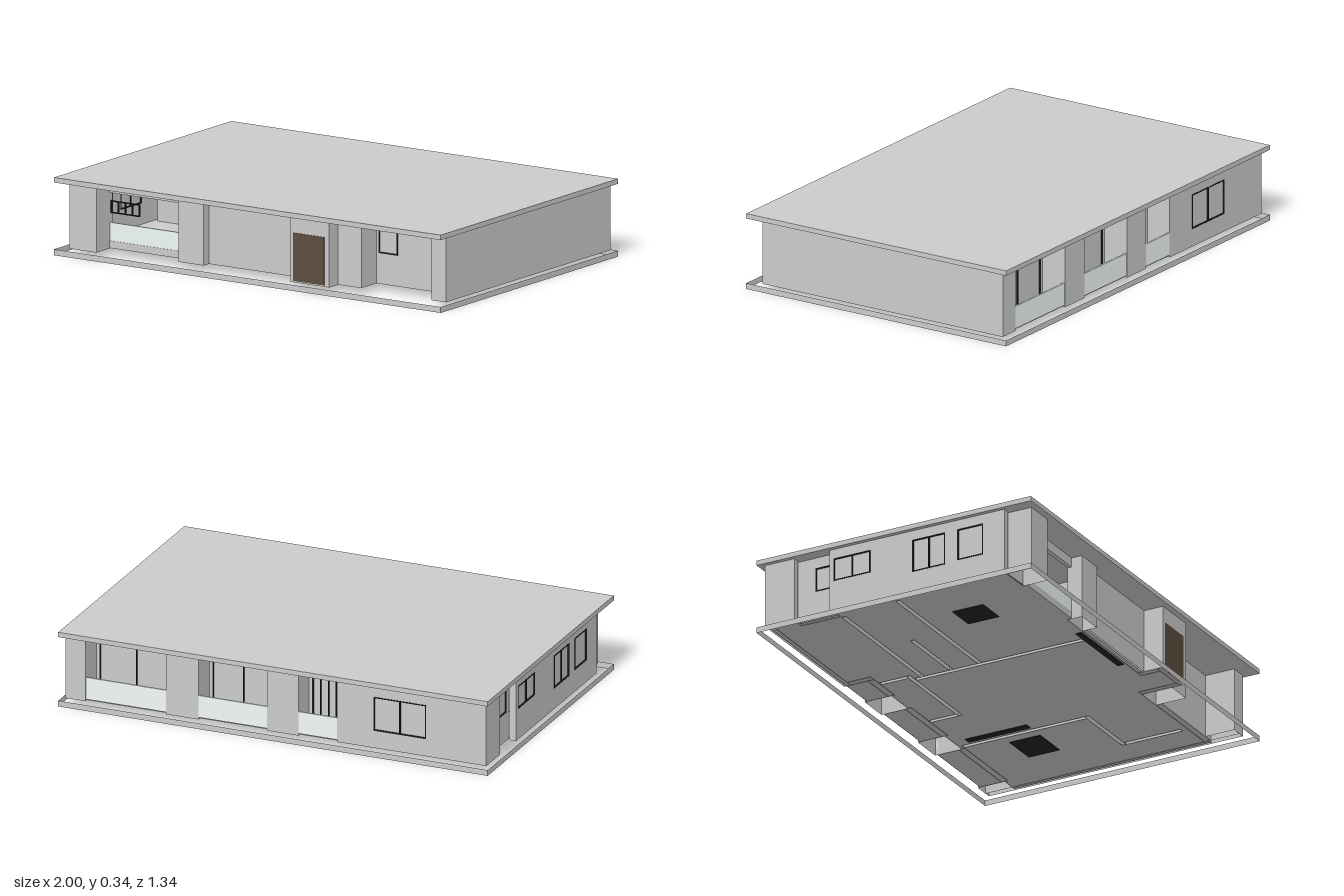
import * as THREE from 'three';

const FLOOR = 0.033, BOTTOM = 0.031, TOP = 0.318, T = 0.03, THIN = 0.018;
const mat = (color) => new THREE.MeshStandardMaterial({ color, side: THREE.DoubleSide });

// drops the triangles lying at the foot of a wall or pier, leaving it hollow from below
function openBottom(geometry) {
  const g = geometry.index ? geometry.toNonIndexed() : geometry;
  const p = g.attributes.position, kept = [];
  for (let i = 0; i < p.count; i += 3) {
    if (Math.max(p.getY(i), p.getY(i + 1), p.getY(i + 2)) > BOTTOM + 0.001) kept.push(i, i + 1, i + 2);
  }
  g.clearGroups();
  g.setIndex(kept);
  return g;
}

const rect = (P, x0, x1, y0, y1) => new P([[x0, y0], [x1, y0], [x1, y1], [x0, y1]]
  .map(([x, y]) => new THREE.Vector2(x, y)));

export function createModel() {
  const house = new THREE.Group();
  house.name = 'house';
  const grey = mat(0xcccccc), dark = mat(0x222222), glass = mat(0xf2fbf9), wood = mat(0x5d4c3c);

  const add = (name, geometry, material) => {
    const mesh = new THREE.Mesh(geometry, material);
    mesh.name = name;
    house.add(mesh);
    return mesh;
  };
  // box given by its two corners
  const box = (name, x0, x1, y0, y1, z0, z1, material = grey) => {
    const m = add(name, new THREE.BoxGeometry(x1 - x0, y1 - y0, z1 - z0), material);
    m.position.set((x0 + x1) / 2, (y0 + y1) / 2, (z0 + z1) / 2);
  };
  // hollow pier, open at the foot
  const pier = (name, x0, x1, z0, z1) => {
    const g = new THREE.BoxGeometry(x1 - x0, TOP - BOTTOM, z1 - z0);
    g.translate((x0 + x1) / 2, (TOP + BOTTOM) / 2, (z0 + z1) / 2);
    add(name, openBottom(g), grey);
  };
  // box running from a to b along an axis, centred on the plane "at"
  const run = (name, axis, at, a, b, y0, y1, t, material) => axis === 'x'
    ? box(name, a, b, y0, y1, at - t / 2, at + t / 2, material)
    : box(name, at - t / 2, at + t / 2, y0, y1, a, b, material);

  // window frame with mullions, d deep
  const frame = (axis, at, a, b, y0, y1, mullions, d) => {
    const w = 0.005;
    for (const y of [y0, y1 - w]) run('windowFrame', axis, at, a, b, y, y + w, d, dark);
    for (let i = 0; i <= mullions + 1; i++) {
      const s = a + (b - a - w) * i / (mullions + 1);
      run('windowFrame', axis, at, s, s + w, y0, y1, d, dark);
    }
  };

  // hollow wall with window openings [a, b, y0, y1, mullions]
  const wall = (name, axis, at, a, b, windows = [], t = T) => {
    const shape = rect(THREE.Shape, a, b, BOTTOM, TOP);
    for (const [p, q, y0, y1, n] of windows) {
      shape.holes.push(rect(THREE.Path, p, q, y0, y1));
      frame(axis, at, p, q, y0, y1, n, t * 1.1);
      run('windowPane', axis, at, p, q, y0, y1, t * 0.7, grey);
    }
    const m = add(name, openBottom(new THREE.ExtrudeGeometry(shape, { depth: t, bevelEnabled: false })), grey);
    if (axis === 'x') m.position.z = at - t / 2;
    else {
      m.rotation.y = -Math.PI / 2;
      m.position.x = at + t / 2;
    }
  };

  // roof slab and the open rim around the base
  box('roof', -1, 1, TOP, 0.34, -0.67, 0.67);
  for (const s of [-1, 1]) {
    const long = add('baseRim', new THREE.PlaneGeometry(2, 0.026), grey);
    long.position.set(0, 0.013, s * 0.67);
    if (s < 0) long.rotation.y = Math.PI;
    const short = add('baseRim', new THREE.PlaneGeometry(1.34, 0.026), grey);
    short.position.set(s, 0.013, 0);
    short.rotation.y = s * Math.PI / 2;
  }

  // interior partitions: axis, position, from, to
  const partitions = [['z', 0.49, -0.495, 0.106], ['x', 0.115, 0.481, 0.809], ['z', 0.8, 0.124, 0.4],
    ['x', -0.35, -0.244, 0.209], ['z', 0.2, -0.495, -0.359], ['z', -0.235, -0.495, -0.359],
    ['z', -0.2, -0.341, 0.51], ['x', -0.02, -0.93, -0.209], ['x', -0.16, -0.55, -0.209],
    ['x', -0.3, -0.9, -0.209]];
  for (const [axis, at, a, b] of partitions) wall('partition', axis, at, a, b, [], THIN);

  // floor sheet, notched at the piers and slotted under the partitions
  const plan = [[0.95, -0.51], [0.885, -0.51], [0.885, -0.63], [0.51, -0.63], [0.51, -0.51], [0.36, -0.51],
    [0.36, -0.63], [0.04, -0.63], [0.04, -0.51], [-0.105, -0.51], [-0.105, -0.63], [-0.97, -0.63],
    [-0.97, -0.5], [-0.93, -0.5], [-0.93, -0.31], [-0.97, -0.31], [-0.97, 0.52], [-0.41, 0.54],
    [-0.41, 0.52], [-0.28, 0.52], [-0.28, 0.54], [0.21, 0.54], [0.21, 0.63], [0.4, 0.63], [0.4, 0.43],
    [0.525, 0.43], [0.525, 0.455], [0.97, 0.455], [0.97, -0.51]];
  const floorShape = new THREE.Shape(plan.map(([x, z]) => new THREE.Vector2(x, z)));
  for (const [axis, at, a, b] of partitions) {
    const s = [a + 0.002, b - 0.002], w = [at - THIN / 2, at + THIN / 2];
    floorShape.holes.push(rect(THREE.Path, ...(axis === 'x' ? [...s, ...w] : [...w, ...s])));
  }
  const floor = add('floor', new THREE.ShapeGeometry(floorShape), grey);
  floor.rotation.x = Math.PI / 2;
  floor.position.y = FLOOR;

  // dark strips and mats let into the floor
  for (const [x0, x1, z0, z1] of [[-0.27, 0.1, 0.48, 0.51], [0.43, 0.465, -0.45, -0.15],
    [0.55, 0.72, -0.3, -0.15], [-0.72, -0.58, 0.13, 0.28]]) {
    box('floorMat', x0, x1, 0.03, 0.036, z0, z1, dark);
  }

  // blank end wall
  wall('endWall', 'z', 0.965, -0.64, 0.6);

  // front: recessed window wall, entrance block, middle wall
  wall('frontWindowWall', 'x', 0.445, 0.525, 0.95, [[0.535, 0.635, 0.165, 0.27, 0]]);
  wall('entranceWall', 'x', 0.628, 0.205, 0.405);
  wall('entranceSide', 'z', 0.22, 0.52, 0.613);
  wall('entranceSide', 'z', 0.39, 0.43, 0.613);
  wall('frontMiddleWall', 'x', 0.535, -0.28, 0.205);
  box('frontDoor', 0.22, 0.38, 0.037, 0.248, 0.63, 0.6445, wood);
  for (const [x0, x1, z0, z1] of [[-0.94, -0.8, 0.52, 0.64], [-0.41, -0.28, 0.52, 0.59],
    [0.405, 0.525, 0.43, 0.575], [0.905, 0.95, 0.46, 0.6]]) pier('frontPier', x0, x1, z0, z1);

  // front balcony: sill, glass parapet, lintel and the small high frame
  box('parapetSill', -0.8, -0.41, FLOOR, 0.065, 0.525, 0.54);
  box('parapetGlass', -0.8, -0.41, 0.065, 0.145, 0.53, 0.538, glass);
  box('frontLintel', -0.8, -0.41, 0.275, TOP, 0.52, 0.54);
  frame('x', 0.53, -0.8, -0.65, 0.185, 0.24, 3, 0.006);

  // back: piers, balconies with glazing set behind glass parapets, window wall
  for (const [x0, x1] of [[0.885, 0.95], [0.36, 0.51], [-0.105, 0.04]]) {
    pier('backPier', x0, x1, -0.64, -0.51);
  }
  for (const [x0, x1, n] of [[0.51, 0.885, 1], [0.04, 0.36, 1], [-0.285, -0.105, 3]]) {
    wall('balconyWall', 'x', -0.51, x0, x1, [[x0 + 0.015, x1 - 0.015, 0.06, 0.28, n]]);
    box('parapetGlass', x0, x1, 0.04, 0.14, -0.638, -0.63, glass);
  }
  wall('backWall', 'x', -0.625, -0.98, -0.285, [[-0.7, -0.455, 0.11, 0.265, 1]]);
  wall('balconySide', 'z', -0.3, -0.61, -0.495);

  // windowed end: corner return, shallow recess, long wall
  wall('cornerWall', 'z', -0.965, -0.61, -0.495);
  wall('recessWall', 'z', -0.925, -0.5, -0.31, [[-0.415, -0.335, 0.16, 0.27, 0]]);
  wall('sideWall', 'z', -0.965, -0.325, 0.53, [[-0.305, -0.125, 0.17, 0.275, 1],
    [0.08, 0.24, 0.125, 0.275, 1], [0.3, 0.425, 0.13, 0.275, 0]]);

  // inner door leaf seen past the front balcony
  box('innerDoor', -0.59, -0.52, FLOOR, 0.25, -0.005, 0.005);

  return house;
}
